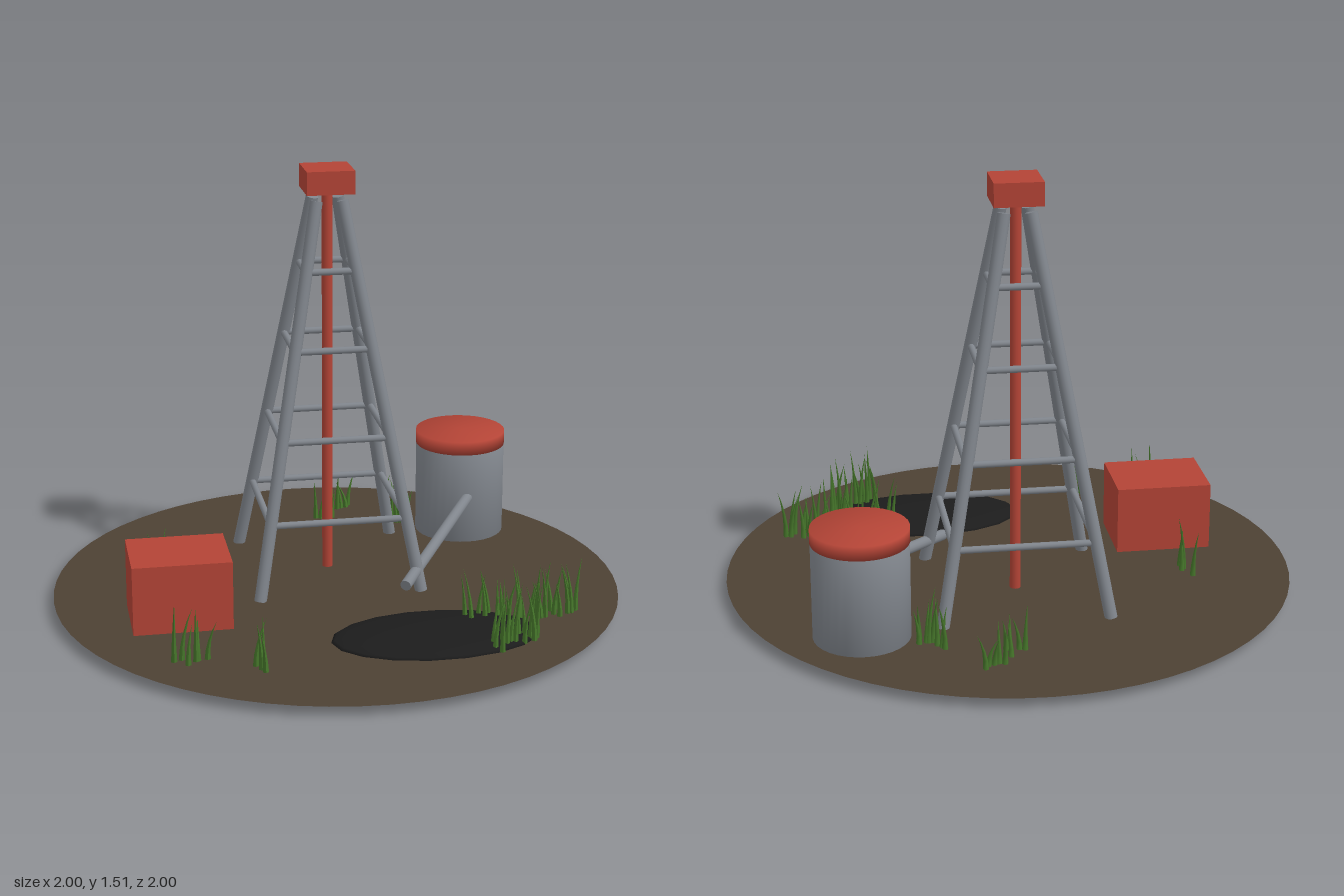
import * as THREE from 'three';
import { mergeVertices } from 'three/addons/utils/BufferGeometryUtils.js';

const material = (name, color, side = THREE.FrontSide) => {
  const m = new THREE.MeshStandardMaterial({ color, side });
  m.name = name;
  return m;
};

export function createModel() {
  const model = new THREE.Group();
  model.name = 'oilDerrickSite';
  const soil = material('soil brown', 0x4d4134, THREE.DoubleSide);
  const steel = material('steel grey', 0x80858c);
  const red = material('painted red', 0xb34436);
  const oil = material('oil black', 0x1c1c1c);
  const grass = material('grass green', 0x45752a);
  const base = 0.035;

  const add = (parent, name, geometry, mat, x = 0, y = 0, z = 0) => {
    const mesh = new THREE.Mesh(geometry, mat);
    mesh.name = name;
    mesh.position.set(x, y, z);
    parent.add(mesh);
    return mesh;
  };
  // Cylinder with rim normals shared between side and caps
  const softCylinder = (r, h) => {
    const g = new THREE.CylinderGeometry(r, r, h, 32);
    g.deleteAttribute('uv');
    g.deleteAttribute('normal');
    const merged = mergeVertices(g, 1e-4);
    merged.computeVertexNormals();
    return merged;
  };
  // Round bar between two points
  const bar = (parent, name, a, b, r, mat) => {
    const from = new THREE.Vector3(...a), to = new THREE.Vector3(...b);
    const dir = to.clone().sub(from);
    const mesh = add(parent, name, new THREE.CylinderGeometry(r, r, dir.length(), 14), mat);
    mesh.position.copy(from).add(to).multiplyScalar(0.5);
    mesh.quaternion.setFromUnitVectors(new THREE.Vector3(0, 1, 0), dir.normalize());
    return mesh;
  };

  // Ground disc
  add(model, 'ground', new THREE.CircleGeometry(1, 64).rotateX(-Math.PI / 2), soil, 0, base + 0.002, 0);

  // Derrick tower
  const tower = new THREE.Group();
  tower.name = 'derrick';
  tower.position.z = -0.175;
  model.add(tower);
  const corners = [[1, 1], [1, -1], [-1, -1], [-1, 1]];
  const halfWidth = y => 0.287 - (y - base) * 0.242 / 1.365;
  for (const [sx, sz] of corners) {
    const b = halfWidth(base), t = halfWidth(1.4);
    bar(tower, 'leg', [sx * b, base, sz * b], [sx * t, 1.4, sz * t], 0.022, steel);
  }
  for (const y of [0.295, 0.58, 0.89, 1.16]) {
    const w = halfWidth(y);
    corners.forEach(([sx, sz], i) => {
      const [nx, nz] = corners[(i + 1) % 4];
      bar(tower, 'crossBrace', [sx * w, y, sz * w], [nx * w, y, nz * w], 0.012, steel);
    });
  }
  bar(tower, 'drillPipe', [0, base, 0], [0, 1.44, 0], 0.019, red);
  add(tower, 'crownBlock', new THREE.BoxGeometry(0.168, 0.082, 0.168), red, 0, 1.469, 0);

  // Storage tank with lid and feed pipe
  add(model, 'tank', softCylinder(0.165, 0.345), steel, 0.56, base + 0.1725, -0.478);
  add(model, 'tankLid', softCylinder(0.166, 0.05), red, 0.56, 0.404, -0.478);
  bar(model, 'feedPipe', [0.214, 0.09, 0.19], [0.555, 0.21, -0.325], 0.02, steel);

  // Equipment shed
  add(model, 'shed', new THREE.BoxGeometry(0.34, 0.245, 0.273), red, -0.58, base + 0.1225, 0.2);

  // Oil puddle
  const puddle = add(model, 'oilPuddle', new THREE.SphereGeometry(1, 18, 12), oil, 0.252, 0.036, 0.507);
  puddle.scale.set(0.358, 0.034, 0.2);

  // Grass tufts: blades scattered along short lines
  let seed = 7;
  const rand = () => (seed = (seed * 16807) % 2147483647) / 2147483647;
  const blade = (x, z, h) => {
    const g = new THREE.ConeGeometry(0.011, h, 5, 4).translate(0, h / 2, 0);
    const angle = rand() * Math.PI * 2, lean = 0.015 + rand() * 0.025;
    const p = g.attributes.position;
    for (let i = 0; i < p.count; i++) {
      const t = (p.getY(i) / h) ** 2 * lean;
      p.setX(i, p.getX(i) + Math.cos(angle) * t);
      p.setZ(i, p.getZ(i) + Math.sin(angle) * t);
    }
    g.computeVertexNormals();
    add(model, 'grassBlade', g, grass, x, base, z);
  };
  // [x1, z1, x2, z2, blades, tallest]
  const tufts = [
    [0.1, -0.73, 0.18, -0.79, 6, 0.16], [0.04, -0.65, 0.1, -0.65, 4, 0.17],
    [0.3, -0.61, 0.38, -0.55, 8, 0.2], [-0.64, -0.15, -0.6, -0.09, 4, 0.22],
    [-0.64, 0.58, -0.53, 0.56, 6, 0.23], [-0.37, 0.63, -0.35, 0.67, 4, 0.18],
    [0.37, 0.42, 0.58, 0.39, 10, 0.2], [0.62, 0.42, 0.77, 0.37, 13, 0.21],
    [0.41, 0.66, 0.59, 0.56, 15, 0.24],
  ];
  for (const [x1, z1, x2, z2, n, tall] of tufts) {
    for (let i = 0; i < n; i++) {
      const t = i / (n - 1);
      blade(x1 + (x2 - x1) * t + (rand() - 0.5) * 0.02,
        z1 + (z2 - z1) * t + (rand() - 0.5) * 0.06, tall * (0.6 + 0.4 * rand()));
    }
  }
  return model;
}
